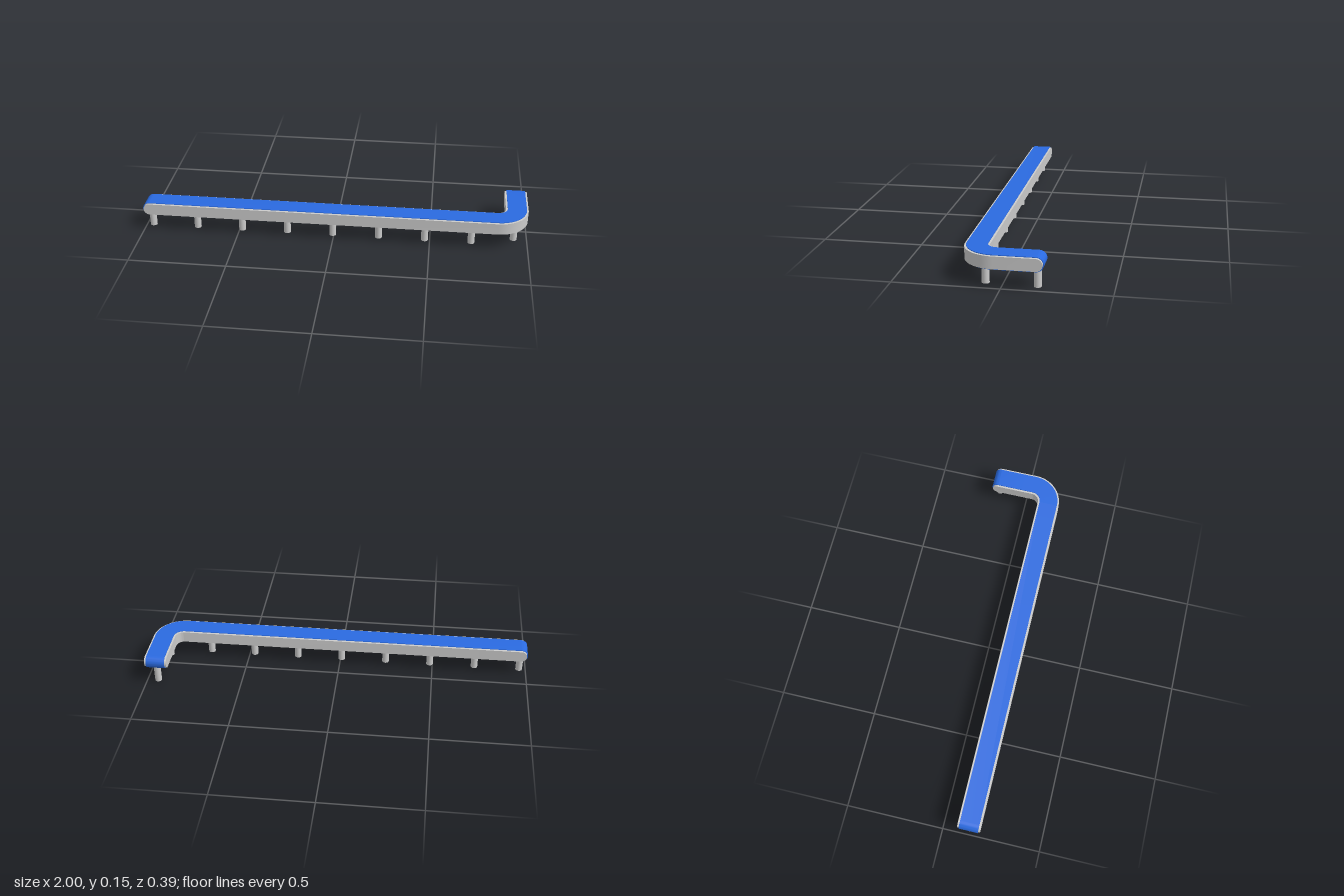
import * as THREE from 'three';
import { toCreasedNormals } from 'three/addons/utils/BufferGeometryUtils.js';

// Centre line: a long straight run, a quarter bend, then a short arm to the back
const START = -0.965, RUN = 1.807, BEND = 0.1, ARM = 0.193;
const RUN_Z = 0.135, MID_Y = 0.12;
const ARC = BEND * Math.PI / 2, LENGTH = RUN + ARC + ARM;

// Point at distance s along the line, moved sideways towards the outside of the bend
function place(s, side, y) {
  const a = THREE.MathUtils.clamp((s - RUN) / BEND, 0, Math.PI / 2);
  const before = Math.min(s, RUN), after = Math.max(s - RUN - ARC, 0);
  const r = BEND + side;
  return new THREE.Vector3(
    START + before + r * Math.sin(a),
    MID_Y + y,
    RUN_Z - BEND + r * Math.cos(a) - after
  );
}

// Rounded end cap points and the stations along the line
const CAP = 10, BEND_STEPS = 18;
const stations = [0];
for (let i = 0; i <= BEND_STEPS; i++) stations.push(RUN + ARC * i / BEND_STEPS);
stations.push(LENGTH);

// Upper half of the long rounded side outline, as [s, y]
function upperOutline(radius) {
  const points = [];
  for (let i = 0; i < CAP; i++) {
    const a = Math.PI / 2 * i / CAP;
    points.push([-radius * Math.cos(a), radius * Math.sin(a)]);
  }
  stations.forEach((s) => points.push([s, radius]));
  for (let i = 1; i <= CAP; i++) {
    const a = Math.PI / 2 * i / CAP;
    points.push([LENGTH + radius * Math.sin(a), i === CAP ? 0 : radius * Math.cos(a)]);
  }
  return points;
}

// Whole outline, as a loop
function fullOutline(radius) {
  const upper = upperOutline(radius);
  const lower = upper.slice(1, -1).reverse().map(([s, y]) => [s, -y]);
  return [...upper, ...lower];
}

// Skin over a row of four-cornered rings
function loft(rings, closed) {
  const positions = [];
  const count = closed ? rings.length : rings.length - 1;
  for (let i = 0; i < count; i++) {
    const p = rings[i], q = rings[(i + 1) % rings.length];
    for (let j = 0; j < 4; j++) {
      const k = (j + 1) % 4;
      for (const v of [p[j], q[j], q[k], p[j], q[k], p[k]]) positions.push(v.x, v.y, v.z);
    }
  }
  const geometry = new THREE.BufferGeometry();
  geometry.setAttribute('position', new THREE.Float32BufferAttribute(positions, 3));
  return toCreasedNormals(geometry, 0.6);
}

export function createModel() {
  const group = new THREE.Group();
  const grey = new THREE.MeshStandardMaterial({ color: 0xcccccc });
  const blue = new THREE.MeshStandardMaterial({ color: 0x2a6ae0 });

  const add = (name, geometry, material) => {
    const mesh = new THREE.Mesh(geometry, material);
    mesh.name = name;
    group.add(mesh);
    return mesh;
  };

  // Solid bed with rounded ends
  const w = 0.058;
  const bedRings = upperOutline(0.03).map(([s, h]) => [
    place(s, w, h), place(s, -w, h), place(s, -w, -h), place(s, w, -h),
  ]);
  add('bed', loft(bedRings, false), grey);

  // Thin endless belt wrapped around the bed
  const b = 0.049;
  const inner = fullOutline(0.0318);
  const beltRings = fullOutline(0.0348).map(([s, y], i) => {
    const [si, yi] = inner[i];
    return [place(s, b, y), place(s, -b, y), place(si, -b, yi), place(si, b, yi)];
  });
  add('belt', loft(beltRings, true), blue);

  // Round legs at equal distances along the line
  const LEGS = 10, legHeight = 0.092;
  const legGeometry = new THREE.CylinderGeometry(0.018, 0.018, legHeight, 24);
  for (let i = 0; i < LEGS; i++) {
    const leg = add(`leg${i + 1}`, legGeometry, grey);
    leg.position.copy(place(LENGTH * i / (LEGS - 1), 0, 0)).setY(legHeight / 2);
  }

  return group;
}
